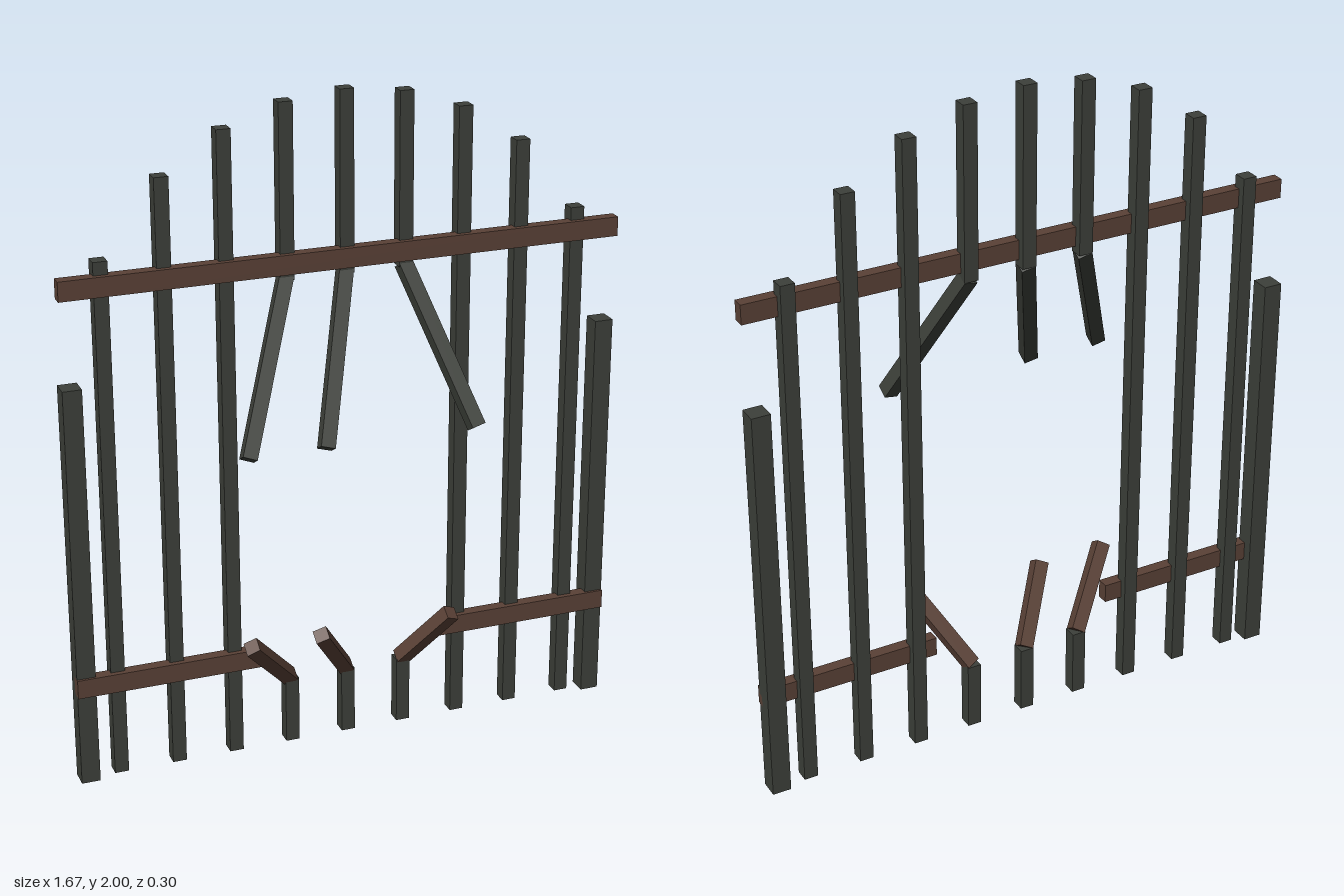
import * as THREE from 'three';

const BAR = 0.042, Z = -0.116;

export function createModel() {
  const group = new THREE.Group();
  const iron = new THREE.MeshStandardMaterial({ color: 0x3d403a });
  iron.name = 'dark iron';
  const rust = new THREE.MeshStandardMaterial({ color: 0x5a4136 });
  rust.name = 'rusty brown';

  function box(name, w, h, d, x, y, z, material) {
    const mesh = new THREE.Mesh(new THREE.BoxGeometry(w, h, d), material);
    mesh.name = name;
    mesh.position.set(x, y, z);
    group.add(mesh);
    return mesh;
  }

  // upright bar between two heights
  const bar = (name, x, y0, y1) =>
    box(name, BAR, y1 - y0, BAR, x, (y0 + y1) / 2, Z, iron);

  // bent bar running from point a to point b
  function bent(name, a, b, material) {
    const d = b.clone().sub(a), length = d.length();
    const mid = a.clone().add(b).multiplyScalar(0.5);
    const mesh = box(name, BAR, length, BAR, mid.x, mid.y, mid.z, material);
    mesh.rotation.set(Math.atan2(d.z, d.y), 0, -Math.asin(d.x / length));
  }

  // end posts and whole bars, mirrored
  for (const side of [1, -1]) {
    box('endPost', 0.056, 1.23, 0.058, side * 0.808, 0.615, Z, iron);
    for (const [x, top] of [[0.356, 1.92], [0.534, 1.805], [0.712, 1.587]]) {
      bar('uprightBar', side * x, 0.01, top);
    }
  }

  // broken bars: x, top height, x of the hanging end, x of the lower bent end
  const broken = [
    [-0.178, 1.98, -0.375, -0.338],
    [0, 2, -0.147, -0.124],
    [0.178, 1.98, 0.308, 0.288],
  ];
  for (const [x, top, hangX, stubX] of broken) {
    bar('brokenBarTop', x, 1.47, top);
    bar('brokenBarStub', x, 0.01, 0.217);
    bent('hangingBar', new THREE.Vector3(x, 1.475, Z), new THREE.Vector3(hangX, 1.045, 0.128), iron);
    bent('bentStub', new THREE.Vector3(x, 0.215, Z), new THREE.Vector3(stubX, 0.405, 0.012), rust);
  }

  // cross rails: one whole, one snapped in the middle
  const rail = (name, x0, x1, y) =>
    box(name, x1 - x0, 0.058, 0.036, (x0 + x1) / 2, y, -0.097, rust);
  rail('upperRail', -0.836, 0.836, 1.52);
  rail('lowerRailRight', -0.836, -0.28, 0.313);
  rail('lowerRailLeft', 0.29, 0.836, 0.313);

  return group;
}
